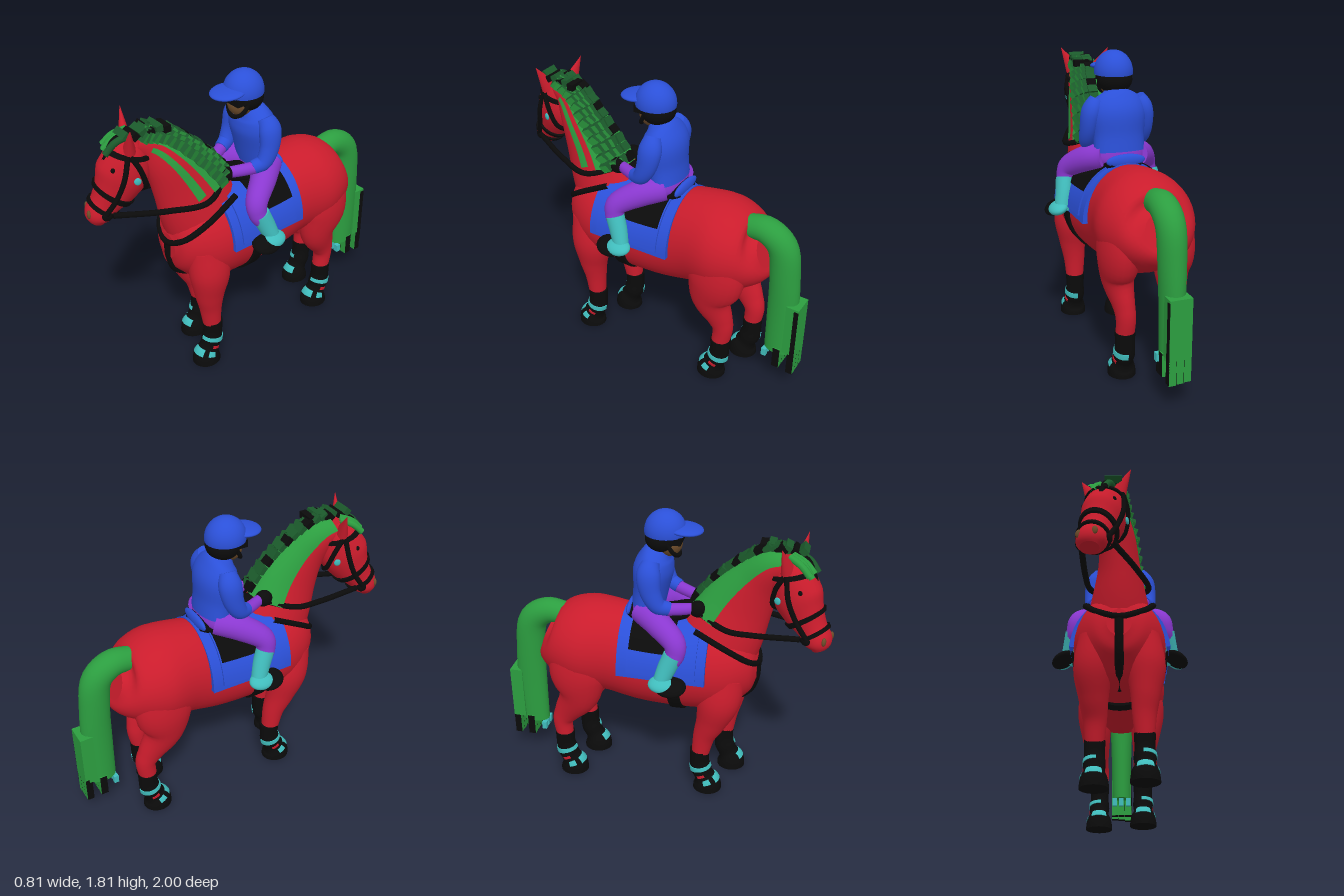
import * as THREE from 'three';

const mat = (name, color, side = THREE.FrontSide) => {
  const m = new THREE.MeshStandardMaterial({ color, side });
  m.name = name;
  return m;
};
const V = (x, y, z) => new THREE.Vector3(x, y, z);
const PI = Math.PI;

// Surface sampler through elliptical sections [x, y, z, halfWidth, halfDepth]; i is the section index
function tubeSurface(secs) {
  const last = secs.length - 1;
  const axis = new THREE.CatmullRomCurve3(secs.map(s => V(s[0], s[1], s[2])), false, 'catmullrom');
  const size = new THREE.CatmullRomCurve3(secs.map(s => V(s[3], s[4], 0)), false, 'catmullrom');
  const at = (i, a, grow = 0) => {
    const t = i / last, c = axis.getPoint(t), r = size.getPoint(t), T = axis.getTangent(t);
    const L = V(1, 0, 0).addScaledVector(T, -T.x).normalize();
    const U = T.clone().cross(L);
    return c.addScaledVector(L, Math.cos(a) * (r.x + grow)).addScaledVector(U, Math.sin(a) * (r.y + grow));
  };
  return { at, last, centre: i => axis.getPoint(i / last) };
}

// Skin a sampler, or only a band of it, with flat end caps
function skin(surf, { i0 = 0, i1 = surf.last, a0 = 0, a1 = 2 * PI, grow = 0, rows = 24, cols = 24 } = {}) {
  const full = a1 - a0 > 6.28, n = full ? cols : cols + 1, pos = [], idx = [];
  const ring = i => {
    for (let j = 0; j < n; j++) pos.push(...surf.at(i, a0 + (a1 - a0) * j / cols, grow).toArray());
  };
  for (let r = 0; r <= rows; r++) ring(i0 + (i1 - i0) * r / rows);
  for (let r = 0; r < rows; r++) for (let j = 0; j < cols; j++) {
    const k = (j + 1) % n, a = r * n + j, b = r * n + k;
    idx.push(a, b, a + n, b, b + n, a + n);
  }
  [i0, i1].forEach((i, end) => {
    const base = pos.length / 3;
    ring(i);
    pos.push(...surf.centre(i).toArray());
    for (let j = 0; j < cols; j++) {
      const a = base + j, b = base + (j + 1) % n;
      end ? idx.push(a, b, base + n) : idx.push(b, a, base + n);
    }
  });
  const g = new THREE.BufferGeometry();
  g.setAttribute('position', new THREE.Float32BufferAttribute(pos, 3));
  g.setIndex(idx);
  g.computeVertexNormals();
  return g;
}

export function createModel() {
  const red = mat('coat red', 0xca1c2c), green = mat('hair green', 0x2c9e40), dark = mat('plait dark green', 0x1b5a2b),
    black = mat('tack black', 0x0b0b0b), cyan = mat('boot cyan', 0x40bcbc), purple = mat('breeches purple', 0x8a38d0),
    blue = mat('jacket blue', 0x2b50d8, THREE.DoubleSide), brown = mat('skin brown', 0x6e4c2a);
  const model = new THREE.Group();
  const add = (name, geo, m, parent = model) => {
    const mesh = new THREE.Mesh(geo, m);
    mesh.name = name;
    parent.add(mesh);
    return mesh;
  };
  const loft = (name, secs, m) => add(name, skin(tubeSurface(secs)), m);
  const tube = (name, pts, r, m, parent) =>
    add(name, new THREE.TubeGeometry(new THREE.CatmullRomCurve3(pts), 28, r, 8), m, parent);
  const ball = (name, p, s, m, parent, theta = PI) => {
    const b = add(name, new THREE.SphereGeometry(1, 28, 18, 0, 2 * PI, 0, theta), m, parent);
    b.position.set(...p);
    b.scale.set(...s);
    return b;
  };
  const box = (name, p, s, m) => {
    const b = add(name, new THREE.BoxGeometry(...s), m);
    b.position.set(...p);
    return b;
  };

  // Horse body and girth
  const body = tubeSurface([
    [0, 0.945, -0.735, 0.1, 0.1], [0, 0.92, -0.67, 0.22, 0.21], [0, 0.91, -0.5, 0.285, 0.29],
    [0, 0.895, -0.3, 0.255, 0.295], [0, 0.845, -0.1, 0.25, 0.285], [0, 0.845, 0.1, 0.265, 0.29],
    [0, 0.86, 0.3, 0.265, 0.29], [0, 0.87, 0.44, 0.225, 0.26], [0, 0.87, 0.54, 0.15, 0.17], [0, 0.87, 0.575, 0.07, 0.08]]);
  add('body', skin(body, { rows: 48, cols: 36 }), red);
  add('girth', skin(body, { i0: 4.85, i1: 5.2, a0: PI, a1: 2 * PI, grow: 0.015, rows: 4 }), black);

  // Saddle cloth and saddle
  const cloth = tubeSurface([[0, 0.85, -0.23, 0.28, 0.335], [0, 0.85, -0.05, 0.283, 0.31], [0, 0.85, 0.12, 0.288, 0.31],
    [0, 0.85, 0.3, 0.288, 0.325]]);
  add('saddleCloth', skin(cloth, { a0: 0, a1: PI }), blue);
  add('saddleFlap', skin(cloth, { i0: 0.35, i1: 2.7, a0: 0.1, a1: PI - 0.1, grow: 0.01 }), blue);
  add('saddleSkirt', skin(cloth, { i0: 0.4, i1: 1.9, a0: 0.55, a1: PI - 0.55, grow: 0.018 }), black);
  loft('saddleSeat', [[0, 1.19, -0.2, 0.1, 0.045], [0, 1.16, -0.13, 0.12, 0.05], [0, 1.16, 0.02, 0.11, 0.05],
    [0, 1.2, 0.14, 0.08, 0.05], [0, 1.22, 0.19, 0.04, 0.03]], black);
  ball('cantle', [0, 1.195, -0.195], [0.12, 0.04, 0.022], blue);

  // Neck and its hair: smooth on the right, plaited on the left
  const neck = tubeSurface([
    [0, 0.95, 0.3, 0.2, 0.26], [0, 1.1, 0.37, 0.165, 0.24], [0, 1.27, 0.45, 0.125, 0.2],
    [-0.01, 1.42, 0.54, 0.105, 0.15], [-0.04, 1.53, 0.63, 0.09, 0.11], [-0.06, 1.58, 0.72, 0.08, 0.07]]);
  add('neck', skin(neck), red);
  add('mane', skin(neck, { i0: 1.3, i1: 4.95, a0: 0.1 * PI, a1: 0.88 * PI, grow: 0.012 }), green);
  add('maneStrand', skin(neck, { i0: 1.6, i1: 4.2, a0: -0.05 * PI, a1: 0.03 * PI, grow: 0.008 }), green);
  const plaitFaces = [green, dark, dark, dark, green, dark];
  for (let row = 0; row < 4; row++) for (let k = 0; k < 13; k++) {
    const b = box('manePlait', neck.at(1.5 + k * 0.28, (0.47 - row * 0.085) * PI, 0.014).toArray(), [0.06, 0.052, 0.057],
      row ? plaitFaces : k % 3 ? dark : black);
    b.rotation.set(0.45 + k * 0.03 + (k % 2) * 0.25, 0, -0.12 * row);
  }
  for (let k = 0; k < 6; k++)
    box('crestTuft', [0.01 - k * 0.008, 1.65 + 0.012 * (k % 2), 0.57 + k * 0.045], [0.1, 0.04, 0.042], k % 2 ? dark : black).rotation.x = k * 0.15;

  // Head, turned to its right
  const head = new THREE.Group();
  head.name = 'head';
  head.position.set(-0.06, 0, 0.72);
  head.rotation.y = -0.4;
  model.add(head);
  const skull = tubeSurface([
    [0, 1.625, 0.0, 0.06, 0.04], [0, 1.54, 0.025, 0.105, 0.11], [0, 1.42, 0.06, 0.12, 0.15], [0, 1.32, 0.11, 0.105, 0.125],
    [0, 1.23, 0.175, 0.085, 0.088], [0, 1.165, 0.22, 0.085, 0.078], [0, 1.12, 0.235, 0.055, 0.045]]);
  add('skull', skin(skull, { rows: 32 }), red, head);
  [['browband', 0.95, 1.15], ['noseband', 3.2, 3.45], ['lowerNoseband', 4.15, 4.4]].forEach(([name, i0, i1]) =>
    add(name, skin(skull, { i0, i1, grow: 0.014, rows: 3 }), black, head));
  for (const s of [1, -1]) {
    const on = (i, a, g = 0.008) => skull.at(i, s > 0 ? a : PI - a, g);
    tube('cheekStrap', [on(0.9, 0.2), on(2, 0.1), on(3.2, 0), on(4.3, -0.1)], 0.015, black, head);
    tube('throatLatch', [on(0.9, 0.1), on(1.5, -0.4), on(2.2, -0.9), on(2.6, -PI / 2)], 0.015, black, head);
    ball('bitRing', on(4.4, -0.2).toArray(), [0.014, 0.028, 0.028], black, head);
    ball('rosette', on(2, -0.38).toArray(), [0.008, 0.022, 0.02], cyan, head);
    ball('eye', on(1.75, 0.6, -0.004).toArray(), [0.01, 0.015, 0.014], black, head);
    ball('nostril', on(5, 0.95, -0.004).toArray(), [0.018, 0.026, 0.012], brown, head);
    const ear = add('ear', new THREE.ConeGeometry(0.052, 0.17, 16), red, head);
    ear.position.set(s * 0.115, 1.65, 0.03);
    ear.scale.z = 0.65;
    ear.rotation.z = -s * 0.5;
  }
  [[-0.05, 1.56, green], [-0.025, 1.54, green], [0, 1.56, green], [0.025, 1.5, black], [0.05, 1.55, dark]].forEach(([x, y, m]) =>
    tube('forelock', [V(x * 0.8, 1.64, 0.02), V(x, 1.61, 0.1), V(x, y, 0.155)], 0.02, m, head));

  // Legs: red upper leg, black boot and hoof, cyan and red patches
  const leg = (name, s, upper, z, shift) => {
    loft(name, upper.map(([x, y, zz, w, d]) =>
      [s * x, y, zz + s * shift * Math.max(0, Math.min(1, (0.75 - y) / 0.4)), w, d]), red);
    const zc = z + s * shift, x = s * 0.138;
    const boot = tubeSurface([[x, 0.29, zc, 0.06, 0.062], [x, 0.21, zc, 0.057, 0.06], [x, 0.15, zc + 0.01, 0.062, 0.066],
      [x, 0.1, zc + 0.03, 0.058, 0.062], [x, 0.06, zc + 0.048, 0.074, 0.08], [x, 0.03, zc + 0.054, 0.08, 0.088],
      [x, 0, zc + 0.054, 0.082, 0.09]]);
    add(name + 'Boot', skin(boot), black);
    const patch = (part, m, i0, i1, from, to) => {
      const [a0, a1] = s > 0 ? [from, to] : [PI - to, PI - from];
      add(name + part, skin(boot, { i0, i1, a0, a1, grow: 0.004, rows: 4 }), m);
    };
    patch('FetlockBand', cyan, 1.5, 2, -0.5 * PI, 0.55 * PI);
    patch('PasternPatch', red, 2.6, 2.95, -0.15 * PI, 0.1 * PI);
    patch('HoofPatch', cyan, 3.4, 4.2, 0.3 * PI, 0.7 * PI);
    patch('HoofSidePatch', cyan, 3.4, 4.1, -0.02 * PI, 0.17 * PI);
  };
  for (const s of [1, -1]) {
    leg('frontLeg', s, [[0.14, 0.86, 0.4, 0.09, 0.12], [0.15, 0.68, 0.38, 0.11, 0.13], [0.145, 0.52, 0.36, 0.085, 0.095],
      [0.138, 0.4, 0.335, 0.068, 0.07], [0.138, 0.27, 0.32, 0.055, 0.055]], 0.315, 0.055);
    leg('hindLeg', s, [[0.15, 0.95, -0.5, 0.11, 0.17], [0.165, 0.76, -0.505, 0.115, 0.18], [0.16, 0.6, -0.495, 0.092, 0.13],
      [0.145, 0.46, -0.565, 0.064, 0.085], [0.138, 0.38, -0.595, 0.058, 0.064], [0.138, 0.27, -0.585, 0.054, 0.055]], -0.585, 0.04);
  }

  // Tail with a square-cut rear lock and ragged tips, black on their sides
  loft('tail', [[0, 1.08, -0.62, 0.07, 0.07], [0, 1.085, -0.74, 0.08, 0.08], [0, 1.0, -0.84, 0.08, 0.09],
    [0, 0.8, -0.868, 0.075, 0.092], [0, 0.55, -0.875, 0.066, 0.095], [0, 0.27, -0.87, 0.06, 0.088]], green);
  box('tailLock', [0, 0.48, -0.96], [0.13, 0.35, 0.08], green);
  box('tailLockEdge', [0.066, 0.44, -0.985], [0.006, 0.4, 0.028], black);
  const tipFaces = [black, black, green, black, green, green];
  [-0.044, 0, 0.044].forEach((x, k) => {
    box('tailTip', [x, 0.25, -0.978], [0.042, 0.16 + 0.01 * k, 0.042], tipFaces);
    box('tailTip', [x, 0.24, -0.885], [0.042, 0.14, 0.045], tipFaces);
    box('tailTip', [x, 0.24, -0.8], [0.03, 0.05, 0.03], cyan);
  });

  // Breastplate and reins
  tube('breastplate', [V(-0.19, 1.16, 0.22), V(-0.19, 1.05, 0.42), V(-0.12, 0.95, 0.545), V(0, 0.9, 0.585),
    V(0.12, 0.95, 0.545), V(0.19, 1.05, 0.42), V(0.19, 1.16, 0.22)], 0.018, black);
  tube('breastStrap', [V(0, 0.9, 0.572), V(0, 0.78, 0.565), V(0, 0.69, 0.53), V(0, 0.63, 0.45), V(0, 0.59, 0.3)], 0.026, black);
  tube('rein', [V(-0.035, 1.19, 0.89), V(0.1, 1.175, 0.62), V(0.17, 1.175, 0.4), V(0.08, 1.24, 0.2)], 0.017, black);
  tube('rein', [V(-0.2, 1.19, 0.82), V(-0.19, 1.175, 0.55), V(-0.17, 1.175, 0.4), V(-0.08, 1.24, 0.2)], 0.017, black);

  // Rider torso and head
  loft('pelvis', [[0, 1.16, -0.09, 0.13, 0.085], [0, 1.2, -0.09, 0.15, 0.095], [0, 1.28, -0.085, 0.135, 0.09]], purple);
  loft('jacket', [[0, 1.23, -0.09, 0.155, 0.098], [0, 1.33, -0.075, 0.155, 0.105], [0, 1.45, -0.06, 0.17, 0.118],
    [0, 1.53, -0.04, 0.145, 0.095], [0, 1.575, -0.02, 0.07, 0.065], [0, 1.61, -0.01, 0.05, 0.05]], blue);
  ball('face', [0, 1.615, 0.03], [0.075, 0.08, 0.078], brown);
  ball('hair', [0, 1.64, -0.01], [0.105, 0.08, 0.1], black);
  ball('helmet', [0, 1.685, 0.008], [0.113, 0.125, 0.122], blue, model, 0.54 * PI);
  ball('helmetPeak', [0, 1.705, 0.12], [0.1, 0.025, 0.108], blue).rotation.x = 0.08;
  box('goggles', [0, 1.65, 0.085], [0.15, 0.045, 0.05], black);
  tube('chinStrap', [V(-0.085, 1.66, 0.02), V(-0.06, 1.57, 0.07), V(0, 1.545, 0.09), V(0.06, 1.57, 0.07), V(0.085, 1.66, 0.02)], 0.013, black);

  // Rider limbs
  for (const s of [1, -1]) {
    loft('sleeve', [[s * 0.12, 1.535, -0.05, 0.05, 0.05], [s * 0.16, 1.47, -0.055, 0.058, 0.07], [s * 0.175, 1.37, -0.04, 0.05, 0.062],
      [s * 0.172, 1.29, 0.0, 0.046, 0.05], [s * 0.15, 1.265, 0.06, 0.04, 0.042]], blue);
    loft('forearm', [[s * 0.16, 1.265, 0.04, 0.036, 0.038], [s * 0.12, 1.255, 0.12, 0.034, 0.036], [s * 0.085, 1.25, 0.19, 0.03, 0.034]], purple);
    ball('glove', [s * 0.085, 1.25, 0.22], [0.045, 0.05, 0.055], black);
    loft('thigh', [[s * 0.08, 1.2, -0.09, 0.1, 0.085], [s * 0.17, 1.175, 0.0, 0.078, 0.08], [s * 0.245, 1.11, 0.11, 0.065, 0.068],
      [s * 0.27, 1.04, 0.125, 0.053, 0.058], [s * 0.285, 0.98, 0.1, 0.045, 0.048]], purple);
    loft('ridingBoot', [[s * 0.278, 1.035, 0.115, 0.052, 0.058], [s * 0.295, 0.95, 0.08, 0.05, 0.055], [s * 0.32, 0.855, 0.045, 0.045, 0.045]], cyan);
    ball('bootFoot', [s * 0.338, 0.868, 0.06], [0.06, 0.036, 0.08], cyan).rotation.z = -s * 0.4;
    ball('stirrup', [s * 0.335, 0.858, 0.11], [0.075, 0.034, 0.095], black).rotation.z = -s * 0.45;
  }
  return model;
}
